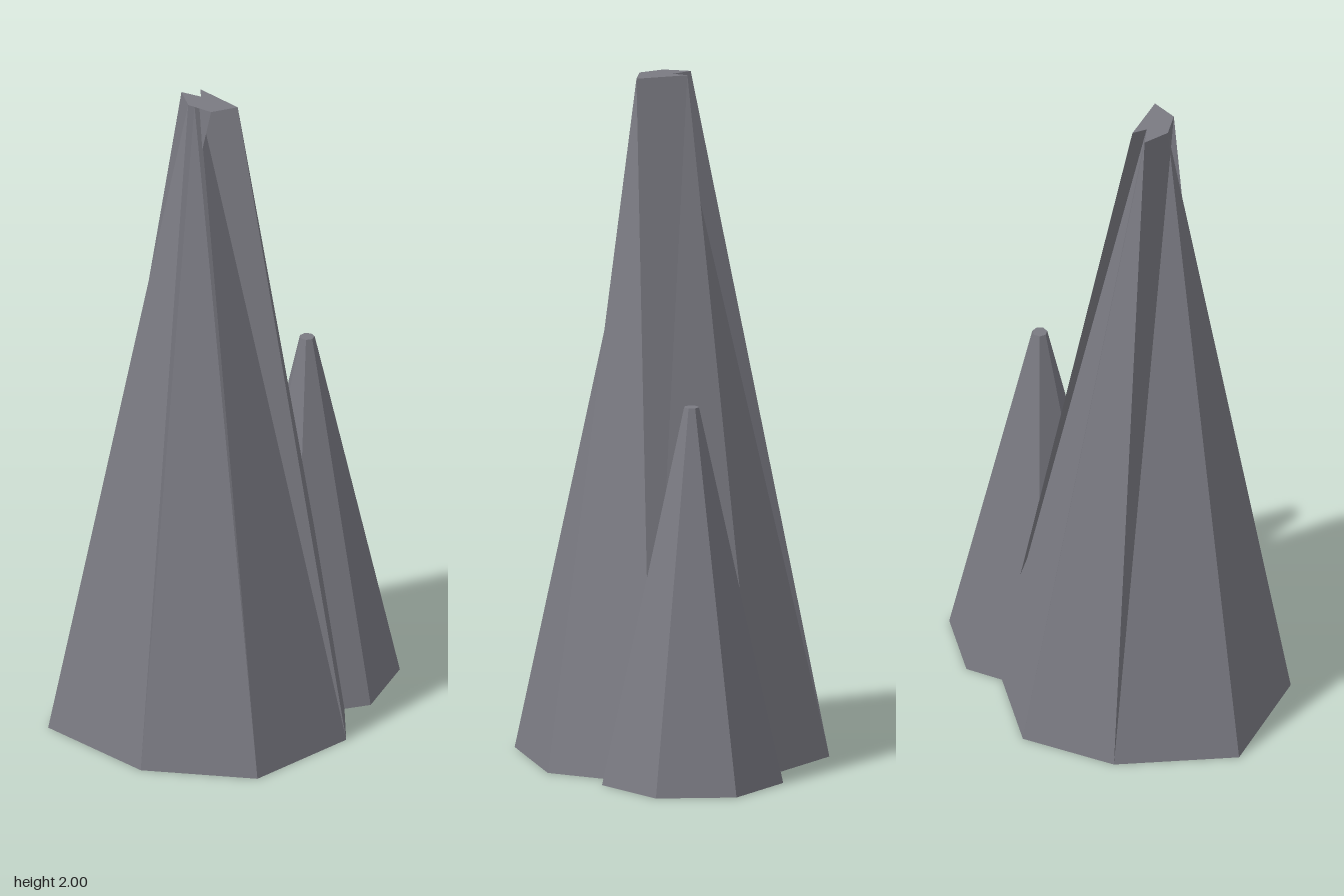
import * as THREE from 'three';

// Rings of [x, z], counter-clockwise seen from above
const baseRing = [[-0.537, -0.02], [-0.36, 0.307], [-0.055, 0.457], [0.26, 0.307],
  [0.35, -0.01], [0.23, -0.305], [-0.085, -0.457], [-0.342, -0.325]];
const topRing = [[-0.082, 0.097], [-0.132, 0.036], [-0.115, 0.042], [-0.1, 0.04],
  [0, 0.092], [-0.07, -0.045], [-0.075, 0.005], [-0.127, -0.045]];
// Jagged broken tip, following the outermost top corners
const tipRing = [1, 0, 4, 5, 6, 7].map((i) => topRing[i]);

function flatGeometry(positions) {
  const g = new THREE.BufferGeometry();
  g.setAttribute('position', new THREE.Float32BufferAttribute(positions, 3));
  g.computeVertexNormals();
  return g;
}

// Fan that closes a ring at height y
function cap(ring, cx, cz, y, up) {
  const out = [];
  ring.forEach((p, i) => {
    const q = ring[(i + 1) % ring.length];
    const [a, b] = up ? [p, q] : [q, p];
    out.push(cx, y, cz, a[0], y, a[1], b[0], y, b[1]);
  });
  return flatGeometry(out);
}

// Twisted side faces between two rings
function walls(bottom, top, height) {
  const out = [];
  bottom.forEach((b0, i) => {
    const j = (i + 1) % bottom.length;
    const b1 = bottom[j], t0 = top[i], t1 = top[j];
    out.push(t0[0], height, t0[1], b0[0], 0, b0[1], t1[0], height, t1[1]);
    out.push(b0[0], 0, b0[1], b1[0], 0, b1[1], t1[0], height, t1[1]);
  });
  return flatGeometry(out);
}

export function createModel() {
  const group = new THREE.Group();
  const stone = new THREE.MeshStandardMaterial({ color: 0x7a7a82 });
  stone.name = 'grey stone';
  stone.flatShading = true;

  const add = (name, geometry, parent) => {
    const mesh = new THREE.Mesh(geometry, stone);
    mesh.name = name;
    parent.add(mesh);
    return mesh;
  };

  // Tall spire
  const tall = new THREE.Group();
  tall.name = 'tallSpire';
  add('tallSpireSides', walls(baseRing, topRing, 2), tall);
  add('tallSpireTip', cap(tipRing, -0.09, 0.03, 2, true), tall);
  add('tallSpireBase', cap(baseRing, -0.07, 0, 0, false), tall);
  group.add(tall);

  // Small seven-sided spire beside it
  const small = add('smallSpire', new THREE.CylinderGeometry(0.022, 0.268, 1.1, 7), group);
  small.position.set(0.274, 0.55, -0.115);
  small.rotation.y = Math.PI;

  return group;
}
